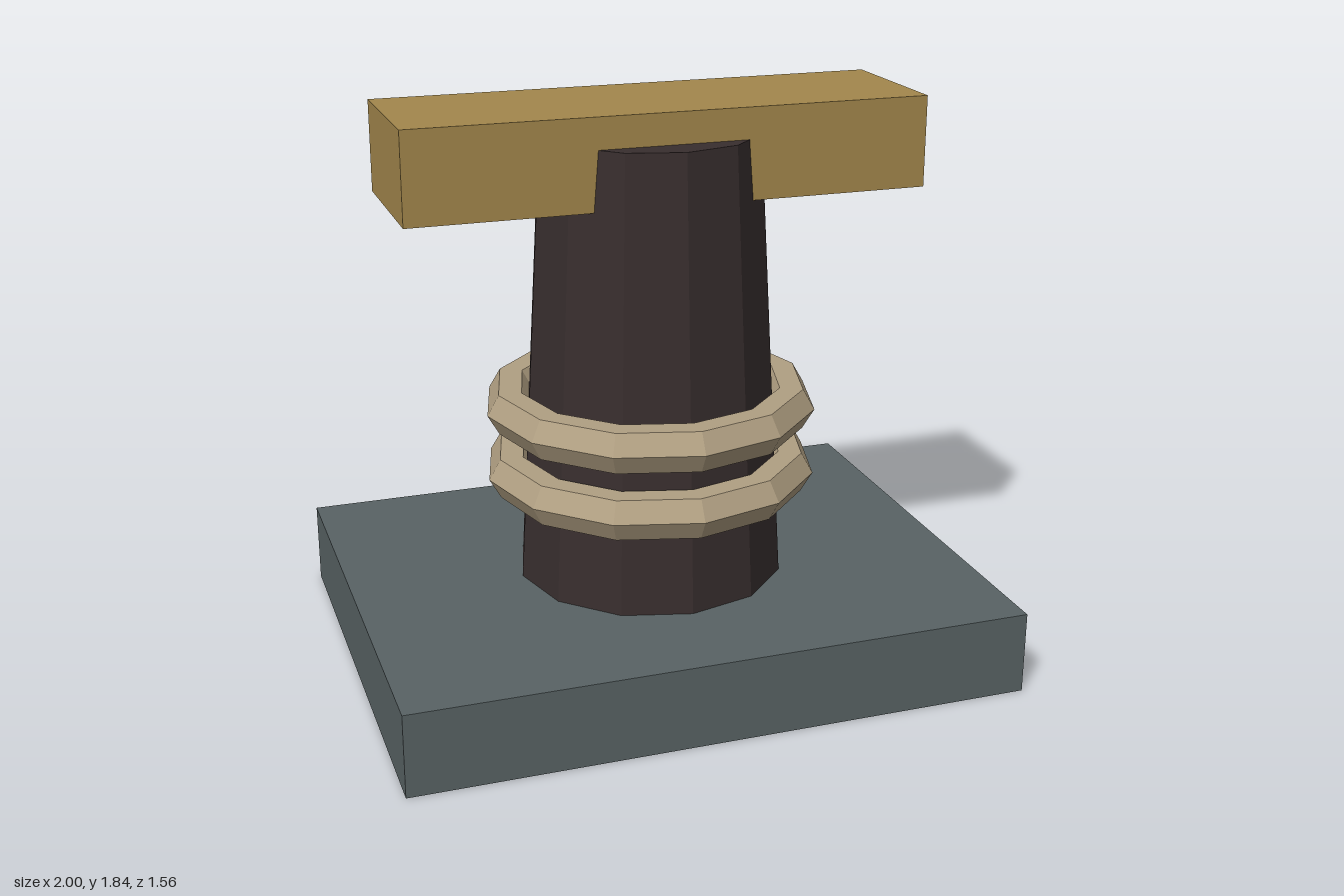
import * as THREE from 'three';

const material = (name, color) => {
  const m = new THREE.MeshStandardMaterial({ color, flatShading: true });
  m.name = name;
  return m;
};

export function createModel() {
  const group = new THREE.Group();
  const stone = material('slate grey', 0x586264);
  const darkWood = material('dark brown', 0x382e2e);
  const rope = material('rope tan', 0xb09f82);
  const brass = material('ochre', 0xa3874c);

  const add = (name, geometry, mat, y) => {
    const mesh = new THREE.Mesh(geometry, mat);
    mesh.name = name;
    mesh.position.y = y;
    group.add(mesh);
    return mesh;
  };

  // Rectangular foot plate
  add('base', new THREE.BoxGeometry(2, 0.27, 1.56), stone, 0.135);

  // Tapered twelve-sided post standing on the plate
  add('post', new THREE.CylinderGeometry(0.355, 0.44, 1.465, 12), darkWood, 0.27 + 1.465 / 2);

  // Two rope turns with a hexagonal section
  [0.625, 0.845].forEach((y, i) => {
    const ring = new THREE.TorusGeometry(0.467, 0.076, 6, 12).rotateX(Math.PI / 2);
    add(i ? 'upperRopeRing' : 'lowerRopeRing', ring, rope, y);
  });

  // Crossbar through the top of the post
  add('crossbar', new THREE.BoxGeometry(1.665, 0.29, 0.49), brass, 1.69);

  return group;
}
